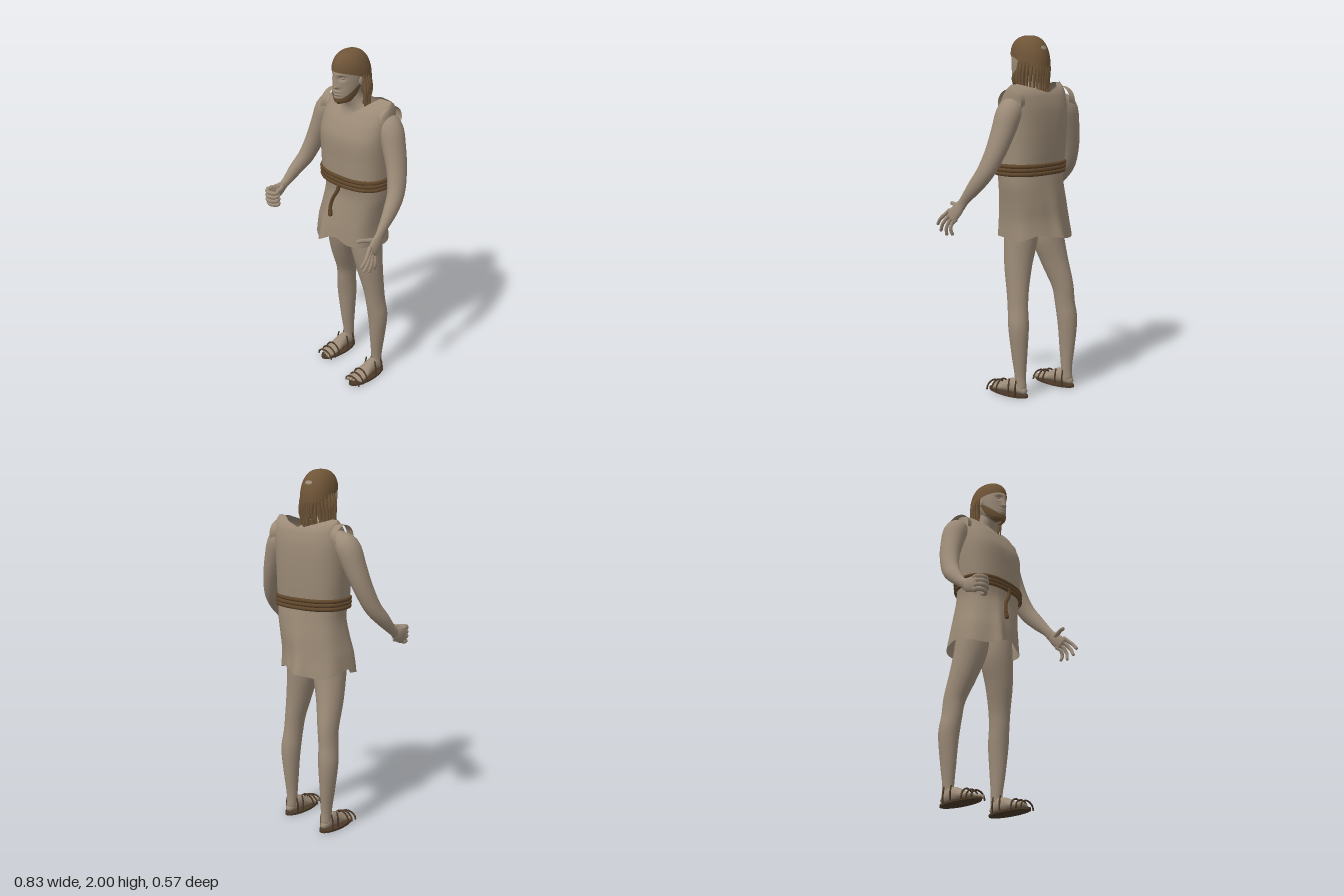
import * as THREE from 'three';

const mat = (name, color, side = THREE.FrontSide) => {
  const m = new THREE.MeshStandardMaterial({ color, side });
  m.name = name;
  return m;
};
const V = (x, y, z) => new THREE.Vector3(x, y, z);
const bump = (d, w) => Math.exp(-(d * d) / (w * w));
const clamp01 = (t) => Math.min(1, Math.max(0, t));

// Grid of points: rows run along the part, columns run around it
function surface(rows, cols, fn, closed = true) {
  const pos = [], idx = [], n = closed ? cols : cols + 1;
  for (let i = 0; i <= rows; i++) for (let j = 0; j < n; j++) pos.push(...fn(i / rows, j / cols, i));
  for (let i = 0; i < rows; i++) for (let j = 0; j < cols; j++) {
    const k = (j + 1) % n, a = i * n + j, b = i * n + k, c = a + n, d = b + n;
    idx.push(a, b, d, a, d, c);
  }
  const g = new THREE.BufferGeometry();
  g.setAttribute('position', new THREE.Float32BufferAttribute(pos, 3));
  g.setIndex(idx);
  g.computeVertexNormals();
  return g;
}

// Round-ended limb through points [x, y, z, width radius, depth radius]
function limb(pts, ref = V(0, 0, 1), rows = 24, cols = 18) {
  const path = new THREE.CatmullRomCurve3(pts.map((p) => V(p[0], p[1], p[2])));
  const radii = new THREE.CatmullRomCurve3(pts.map((p) => V(p[3], p[4] ?? p[3], 0)), false, 'catmullrom');
  const ends = [[0.8, 0], [0.55, 0.72]];
  return surface(rows + 4, cols, (u, v, i) => {
    const t = clamp01((i - 2) / rows), P = path.getPoint(t), T = path.getTangent(t), r = radii.getPoint(t);
    const N = ref.clone().addScaledVector(T, -ref.dot(T)).normalize(), B = T.clone().cross(N);
    const e = i < 2 ? ends[i] : i > rows + 2 ? ends[rows + 4 - i] : [0, 1];
    P.addScaledVector(T, (i < 2 ? -1 : 1) * e[0] * Math.min(r.x, r.y));
    const a = v * Math.PI * 2;
    P.addScaledVector(N, Math.cos(a) * r.y * e[1]).addScaledVector(B, Math.sin(a) * r.x * e[1]);
    return P.toArray();
  });
}

// Smooth lookup in sections [y, centre x, centre z, x radius, z radius]
const profile = (s) => (y) => {
  let i = 0;
  while (i < s.length - 2 && y > s[i + 1][0]) i++;
  const t = clamp01((y - s[i][0]) / (s[i + 1][0] - s[i][0]));
  const p = (k) => s[Math.min(s.length - 1, Math.max(0, k))];
  return [1, 2, 3, 4].map((c) => {
    const a = p(i)[c], b = p(i + 1)[c], m0 = (b - p(i - 1)[c]) / 2, m1 = (p(i + 2)[c] - a) / 2;
    return a + m0 * t + (3 * (b - a) - 2 * m0 - m1) * t * t + (m0 + m1 - 2 * (b - a)) * t * t * t;
  });
};
const soft = (c, p) => Math.sign(c) * Math.abs(c) ** p;
const ring = (prof, y, a, k = 1, p = 1) => {
  const [cx, cz, rx, rz] = prof(y);
  return [cx + rx * k * soft(Math.sin(a), p), y, cz + rz * k * soft(Math.cos(a), p)];
};

const bodice = profile([[1.25, .027, -.08, .206, .142], [1.4, .022, -.083, .212, .147], [1.53, .021, -.085, .217, .148],
  [1.62, .023, -.1, .217, .128], [1.69, .028, -.115, .212, .095], [1.725, .028, -.122, .208, .06], [1.745, .028, -.125, .2, .008]]);
const skirt = profile([[.87, -.012, -.085, .212, .178], [1, -.005, -.082, .204, .165], [1.1, .012, -.088, .199, .155],
  [1.2, .028, -.09, .2, .143], [1.3, .027, -.08, .205, .142]]);
const trunk = profile([[1.4, .022, -.085, .17, .115], [1.56, .022, -.095, .17, .112], [1.66, .02, -.11, .13, .08],
  [1.7, .01, -.09, .075, .065], [1.75, 0, -.058, .056, .056], [1.82, 0, -.055, .054, .055]]);
const skull = profile([[1.722, 0, .015, .012, .018], [1.735, 0, .004, .044, .045], [1.77, 0, -.016, .063, .072],
  [1.82, 0, -.035, .075, .092], [1.87, 0, -.048, .08, .108], [1.93, 0, -.055, .078, .105], [1.97, 0, -.058, .055, .07], [1.985, 0, -.06, .01, .01]]);

export function createModel() {
  const model = new THREE.Group();
  const skin = mat('skin', 0x9c8b78), cloth = mat('tunic cloth', 0x9b8a76, THREE.DoubleSide);
  const hair = mat('hair', 0x6f5538, THREE.DoubleSide), rope = mat('rope', 0x5f462b), leather = mat('sandal leather', 0x4b3928);
  const add = (name, geo, m, parent = model) => {
    const mesh = new THREE.Mesh(geo, m);
    mesh.name = name;
    parent.add(mesh);
    return mesh;
  };
  const group = (name) => {
    const g = new THREE.Group();
    g.name = name;
    model.add(g);
    return g;
  };
  const TAU = Math.PI * 2;

  // Neck and chest, mostly under the tunic
  add('neckAndChest', surface(20, 32, (u, v) => ring(trunk, 1.4 + .42 * u, v * TAU)), skin);

  // Head with brow, eye sockets, nose and lips pushed out of the surface
  add('head', surface(72, 96, (u, v) => {
    const a = v * TAU, p = ring(skull, 1.722 + .263 * u, a), [x, y] = p;
    if (Math.cos(a) > 0) {
      const nose = y > 1.817 ? clamp01((1.885 - y) / .068) * .018 + .006 * bump(y - 1.885, .02) : .02 * bump(y - 1.817, .008);
      p[2] += nose * bump(x, .011 + .006 * bump(y - 1.822, .015));
      p[2] -= .013 * bump(Math.abs(x) - .031, .016) * bump(y - 1.866, .012);
      p[2] += .005 * bump(y - 1.888, .009) * bump(Math.abs(x) - .03, .025);
      p[2] += bump(x, .024) * (.008 * bump(y - 1.79, .006) + .008 * bump(y - 1.775, .006) - .003 * bump(y - 1.782, .003));
      p[2] += .008 * bump(y - 1.745, .014) * bump(x, .03);
    }
    return p;
  }), skin);
  for (const s of [1, -1]) {
    const eye = add('eye', new THREE.SphereGeometry(.011, 16, 10), skin);
    eye.position.set(s * .031, 1.866, .036);
    eye.scale.set(1.2, .7, 1);
    const ear = add('ear', new THREE.SphereGeometry(.022, 14, 10), skin);
    ear.position.set(s * .08, 1.845, -.05);
    ear.scale.set(.4, 1.2, .7);
  }

  // Short beard along the jaw
  add('beard', surface(8, 40, (u, v) => {
    const a = (v - .5) * 3.5, top = 1.757 + .075 * clamp01((Math.abs(a) - .5) / 1.1) ** 1.5;
    const p = ring(skull, 1.722 + (top - 1.722) * u, a, 1.05);
    p[1] -= .004 * (1 - u);
    p[2] += .011 * bump(a, .6) * (1 - u * .4);
    return p;
  }, false), hair);

  // Hair cap, lower at the back, narrower at the front
  add('hairCap', surface(20, 48, (u, v) => {
    const a = v * TAU, c = Math.cos(a), edge = c > 0 ? 1.855 + .045 * Math.sqrt(c) : 1.855 + .025 * c;
    const t = (1 - u) * Math.PI / 2, r = Math.sin(t) ** .82;
    return [.092 * r * Math.sin(a) * (1 - .12 * c), edge + (2 - edge) * Math.cos(t) ** .9, -.055 + .121 * r * c];
  }), hair);

  // Hanging locks at the sides and back
  const locks = group('hairLocks');
  for (let row = 0; row < 2; row++) for (let i = 0; i < 19; i++) {
    const a = Math.PI + (i / 18 - .5) * 3.3, w = Math.sin(i * 7.3 + row * 4), r = .9 - row * .1;
    const x = Math.sin(a) * .095 * r, z = -.062 + Math.cos(a) * .115 * r, side = Math.abs(Math.sin(a)) ** 3;
    const out = 1 + .24 * side, len = .165 + .025 * w;
    add('lock', limb([[x, 1.88, z, .006], [x * (1 + .2 * side) + .003 * w, 1.88 - len * .35, z - .004, .009],
      [x * out - .005 * w, 1.88 - len * .7, z + .006 * w, .008], [x * out + .004 * w, 1.88 - len * 1.1, z, .004]],
    V(0, 0, 1), 9, 6), hair, locks);
  }

  // Tunic top with a V neck; front and back meet in shoulder seams
  add('tunicTop', surface(36, 96, (u, v) => {
    const a = v * TAU, x = .028 + .21 * soft(Math.sin(a), .75);
    const neck = Math.cos(a) > 0 ? 1.64 + .75 * Math.abs(x - .02) : 1.695 + .3 * Math.abs(x - .02);
    return ring(bodice, 1.25 + (Math.min(1.745, neck) - 1.25) * u, a, 1, .75);
  }), cloth);
  // Loose cap sleeves standing off the shoulders
  for (const s of [1, -1]) {
    add('capSleeve', surface(6, 28, (u, v) => {
      const a = (v - .5) * 3.7, d = .07 + .007 * u;
      return [.012 + s * (.185 + .04 * u), 1.655 - .012 * u + Math.cos(a) * d, -.118 + Math.sin(a) * d * 1.08];
    }, false), cloth);
  }

  // Skirt with soft folds, an uneven hem and two pulled corners
  add('tunicSkirt', surface(32, 120, (u, v) => {
    const a = v * TAU, b = a > Math.PI ? a - TAU : a, c = Math.cos(a);
    const hem = c > 0 ? .905 + .035 * bump(b - .08, .25) - .025 * bump(b + .75, .5) : .905 + .02 * Math.sin(a * 3);
    const y = hem + (1.3 - hem) * u, k = (1 - u) ** 1.5;
    const p = ring(skirt, y, a, 1 + k * .025 * Math.cos(a * 6 + 1), .85);
    p[2] += k * (.022 * bump(b + .3, .16) - .03 * bump(a - Math.PI, .16));
    return p;
  }), cloth);

  // Three turns of rope and a hanging end
  const belt = group('ropeBelt');
  for (const y of [1.264, 1.286, 1.308]) {
    const pts = Array.from({ length: 32 }, (_, i) => V(...ring(bodice, y, i / 32 * TAU, 1.025, .82)));
    add('ropeTurn', new THREE.TubeGeometry(new THREE.CatmullRomCurve3(pts, true), 96, .0115, 8, true), rope, belt);
  }
  add('ropeEnd', limb([[.03, 1.27, .068, .011], [.025, 1.23, .073, .011], [-.008, 1.17, .078, .01],
    [-.02, 1.12, .085, .01], [-.016, 1.07, .09, .013]], V(0, 0, 1), 20, 8), rope, belt);

  // Arms
  const upper = (s) => [[s * .18, 1.645, -.12, .05, .05], [s * .23, 1.6, -.115, .068, .072], [s * .272, 1.5, -.105, .06, .068],
    [s * .312, 1.39, -.085, .05, .06], [s * .347, 1.28, -.043, .043, .052]];
  add('leftArm', limb([...upper(1), [.364, 1.2, .018, .036, .043], [.372, 1.125, .085, .023, .029], [.376, 1.085, .115, .017, .03]]), skin);
  add('rightArm', limb([...upper(-1), [-.375, 1.21, .012, .036, .042], [-.39, 1.145, .075, .024, .028], [-.393, 1.12, .11, .02, .03]]), skin);

  // Open left hand
  const finger = (name, parent, pts, r) => add(name, limb(pts.map((p, i) => [...p, r * (1 - .08 * i)]), V(.3, .5, 1), 10, 8), skin, parent);
  const open = group('leftHand');
  add('palm', limb([[.375, 1.1, .105, .017, .028], [.38, 1.06, .14, .018, .038], [.386, 1.02, .178, .015, .04]]), skin, open);
  [[1.035, .215, .972, .272], [1.015, .203, .938, .25], [1, .185, .92, .208], [.988, .165, .925, .165]].forEach(([y, z, ty, tz], i) =>
    finger('finger', open, [[.384, y + .02, z - .02], [.392, y, z], [.402, (y + ty) / 2, (z + tz) / 2 + .004], [.398 - i * .002, ty, tz]], .012));
  finger('thumb', open, [[.376, 1.075, .135], [.355, 1.08, .175], [.34, 1.085, .205], [.329, 1.085, .23]], .014);

  // Curled right hand
  const curled = group('rightHand');
  add('palm', limb([[-.393, 1.125, .1, .018, .03], [-.4, 1.105, .14, .019, .044], [-.402, 1.098, .185, .016, .048]], V(0, 1, 0)), skin, curled);
  for (let i = 0; i < 4; i++) {
    const y = 1.06 + i * .025, d = i === 0 ? .008 : 0;
    finger('finger', curled, [[-.404, y, .175], [-.4, y, .212 - d], [-.368, y - .003, .226 - d], [-.335, y - .004, .203 - d], [-.342, y, .178]], .0145);
  }
  finger('thumb', curled, [[-.385, 1.135, .125], [-.355, 1.148, .14], [-.34, 1.145, .16], [-.352, 1.135, .18]], .014);

  // Legs, feet and sandals; the right leg stands further back
  for (const s of [1, -1]) {
    const side = s > 0 ? 'left' : 'right';
    const back = (y) => (s > 0 ? 0 : -.08 * clamp01((1 - y) / .4));
    const leg = [[.155, .05, -.125, .029, .034], [.155, .12, -.122, .03, .034], [.16, .23, -.12, .039, .046], [.164, .4, -.117, .055, .059],
      [.156, .5, -.105, .052, .061], [.147, .6, -.095, .056, .066], [.125, .75, -.08, .075, .081], [.1, .9, -.078, .094, .093], [.095, 1.08, -.085, .088, .095]];
    add(side + 'Leg', limb(leg.map(([x, y, z, a, b]) => [s * x, y, z + back(y), a, b]), V(0, 0, 1), 40, 24), skin);

    const foot = group(side + 'Foot');
    foot.position.set(s * .156, 0, s > 0 ? 0 : -.08);
    add('foot', limb([[0, .038, -.15, .022, .02], [0, .046, -.13, .03, .03], [0, .06, -.095, .033, .042], [0, .052, -.045, .037, .036],
      [0, .038, 0, .044, .024], [0, .03, .045, .046, .015], [0, .028, .06, .042, .012]], V(0, 1, 0)), skin, foot);
    for (let i = 0; i < 5; i++) {
      const x = s * (-.035 + i * .0185), z = .09 - i * i * .002, r = i ? .0095 : .013;
      add('toe', limb([[x, .03, .045, r], [x, .031, z - .018, r], [x, .026, z - .004, r * .9]], V(0, 1, 0), 8, 10), skin, foot);
    }
    const sole = add('sole', new THREE.CylinderGeometry(1, 1, .012, 40), leather, foot);
    sole.scale.set(.055, 1, .138);
    sole.position.set(0, .008, -.033);
    for (const [z, h] of [[.085, .04], [.05, .05], [.015, .062]]) {
      const arch = Array.from({ length: 9 }, (_, i) => [Math.cos(i * Math.PI / 8) * .053, .012 + Math.sin(i * Math.PI / 8) * h, z, .005]);
      add('toeStrap', limb(arch, V(0, 0, 1), 20, 6), leather, foot);
    }
    for (const z of [-.07, -.12]) for (const e of [1, -1])
      add('sideStrap', limb([[e * .042, .012, z, .005], [e * .042, .06, z, .005], [e * .034, .1, z, .004]], V(0, 0, 1), 8, 6), leather, foot);
  }
  return model;
}
